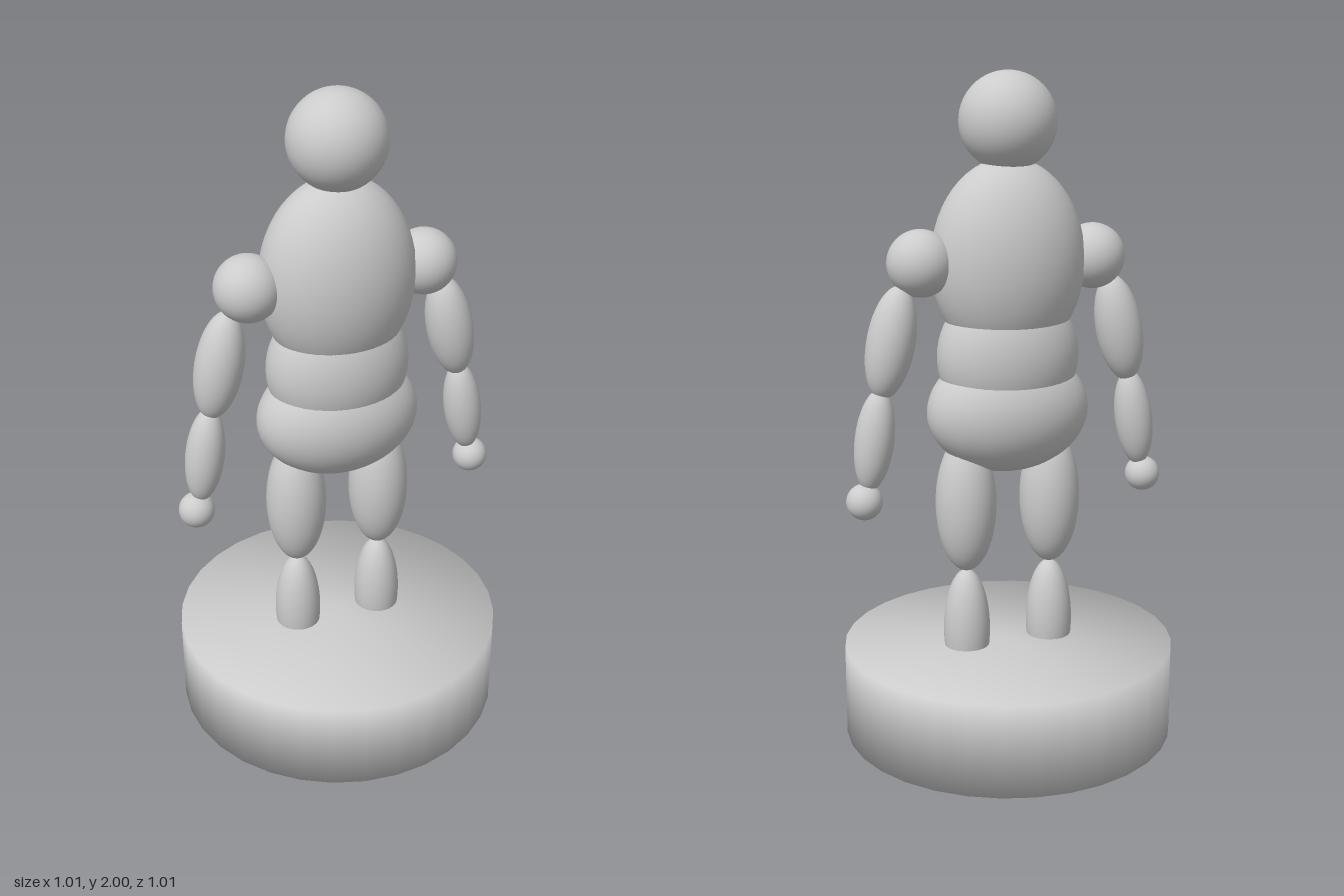
import * as THREE from 'three';
import { mergeVertices } from 'three/addons/utils/BufferGeometryUtils.js';

const material = new THREE.MeshStandardMaterial({ color: 0xcccccc });

export function createModel() {
  const model = new THREE.Group();
  model.name = 'figure';

  // Ellipsoid with centre (x, y), half sizes (rx, ry, rz) and a tilt about z
  function ellipsoid(name, x, y, rx, ry, rz, tilt = 0) {
    const geometry = new THREE.SphereGeometry(1, 40, 28);
    geometry.scale(rx, ry, rz);
    const mesh = new THREE.Mesh(geometry, material);
    mesh.name = name;
    mesh.position.set(x, y, 0);
    mesh.rotation.z = tilt;
    model.add(mesh);
  }

  // Round base with normals blended over its rims
  let baseGeometry = new THREE.CylinderGeometry(0.505, 0.505, 0.28, 32);
  baseGeometry.deleteAttribute('uv');
  baseGeometry.deleteAttribute('normal');
  baseGeometry = mergeVertices(baseGeometry);
  baseGeometry.computeVertexNormals();
  const base = new THREE.Mesh(baseGeometry, material);
  base.name = 'base';
  base.position.y = 0.14;
  model.add(base);

  // Head and torso
  ellipsoid('head', 0, 1.857, 0.143, 0.143, 0.143);
  ellipsoid('chest', 0, 1.455, 0.232, 0.3, 0.176);
  ellipsoid('abdomen', 0, 1.175, 0.217, 0.22, 0.158);
  ellipsoid('pelvis', 0, 1.01, 0.25, 0.187, 0.169);

  // Arms and legs, mirrored
  for (const [side, s] of [['left', 1], ['right', -1]]) {
    ellipsoid(side + 'Shoulder', s * 0.268, 1.46, 0.098, 0.098, 0.098);
    ellipsoid(side + 'UpperArm', s * 0.36, 1.235, 0.071, 0.167, 0.071, s * 0.2);
    ellipsoid(side + 'Forearm', s * 0.415, 0.95, 0.058, 0.152, 0.058, s * 0.14);
    ellipsoid(side + 'Hand', s * 0.449, 0.767, 0.054, 0.054, 0.054);
    ellipsoid(side + 'Thigh', s * 0.135, 0.73, 0.092, 0.212, 0.092);
    ellipsoid(side + 'LowerLeg', s * 0.135, 0.33, 0.071, 0.19, 0.071);
  }
  return model;
}
